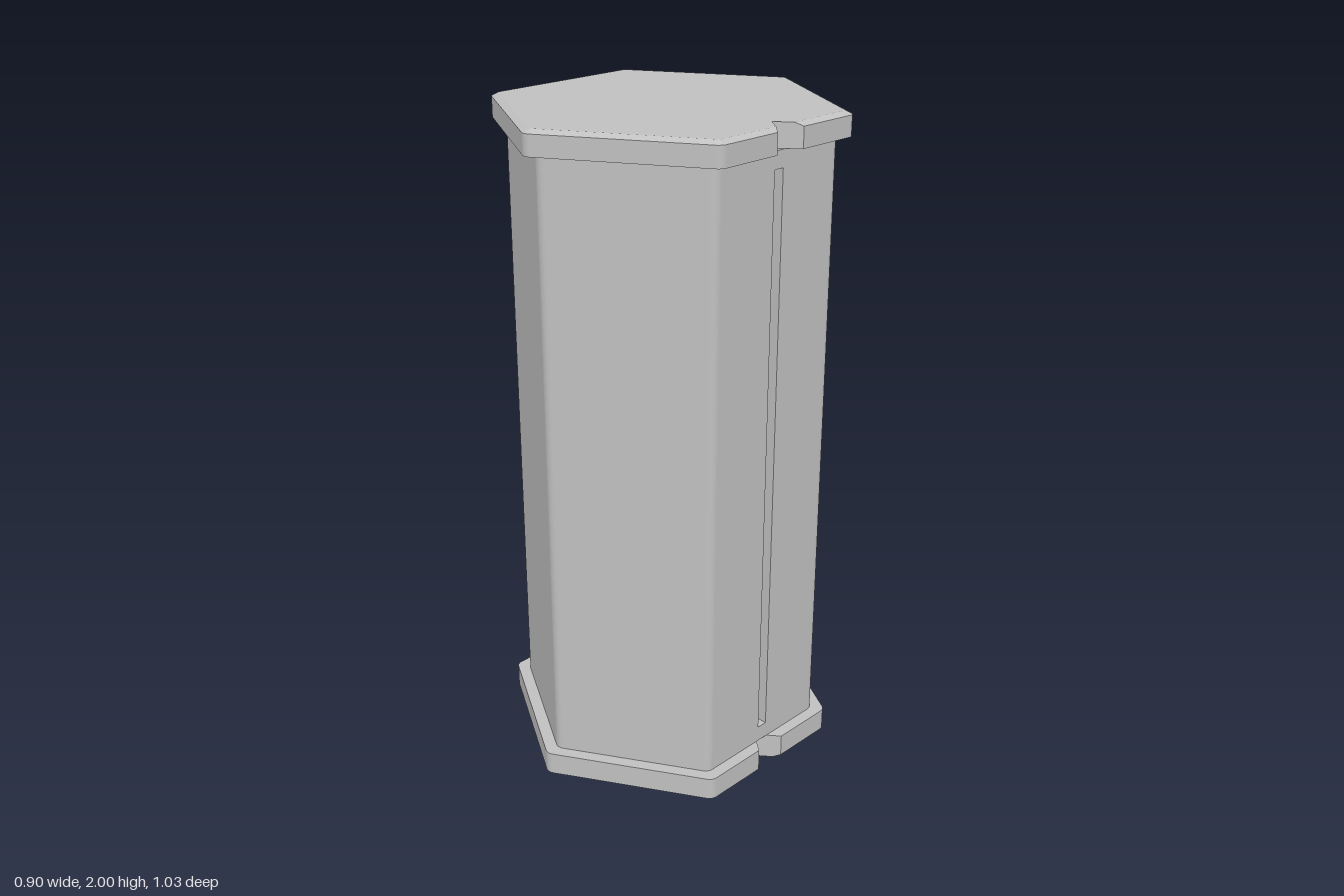
import * as THREE from 'three';

// Hexagon outline in x/z with rounded corners, points toward +z and -z;
// `cut` is a list of [x, z] points set into the +x side.
function hexOutline(apothem, radius, cut = []) {
  const points = [];
  const centre = (apothem - radius) / Math.cos(Math.PI / 6);
  const steps = 8;
  for (let k = 0; k < 6; k++) {
    const mid = Math.PI / 6 + k * Math.PI / 3;
    for (let s = 0; s <= steps; s++) {
      const a = mid + (s / steps - 0.5) * Math.PI / 3;
      points.push(new THREE.Vector2(
        centre * Math.cos(mid) + radius * Math.cos(a),
        centre * Math.sin(mid) + radius * Math.sin(a)));
    }
  }
  cut.forEach(([x, z]) => points.push(new THREE.Vector2(x, z)));
  return points;
}

// Closed solid through outlines stacked upwards: [[outline, y], ...]
function loft(rings) {
  const pos = [];
  const corner = (ring, i) => {
    const p = ring[0][i % ring[0].length];
    pos.push(p.x, ring[1], p.y);
  };
  for (let r = 0; r < rings.length - 1; r++) {
    const a = rings[r], b = rings[r + 1];
    for (let i = 0; i < a[0].length; i++) {
      corner(a, i); corner(b, i); corner(b, i + 1);
      corner(a, i); corner(b, i + 1); corner(a, i + 1);
    }
  }
  const bottom = rings[0], top = rings[rings.length - 1];
  for (const [i, j, k] of THREE.ShapeUtils.triangulateShape(bottom[0], [])) {
    corner(bottom, i); corner(bottom, j); corner(bottom, k);
  }
  for (const [i, j, k] of THREE.ShapeUtils.triangulateShape(top[0], [])) {
    corner(top, k); corner(top, j); corner(top, i);
  }
  const geo = new THREE.BufferGeometry();
  geo.setAttribute('position', new THREE.Float32BufferAttribute(pos, 3));
  geo.computeVertexNormals();
  return geo;
}

export function createModel() {
  const grey = new THREE.MeshStandardMaterial({ color: 0xc0c0c0 });
  grey.name = 'grey';
  const model = new THREE.Group();
  model.name = 'hexagonalCase';
  const add = (name, rings) => {
    const mesh = new THREE.Mesh(loft(rings), grey);
    mesh.name = name;
    model.add(mesh);
  };

  // Body: solid ends and a long middle with the groove in its +x side
  const side = 0.415, round = 0.03, floor = 0.375, half = 0.017;
  const plain = hexOutline(side, round);
  const grooved = hexOutline(side, round,
    [[side, -half], [floor, -half], [floor, half], [side, half]]);
  add('bodyLowerEnd', [[plain, 0.08], [plain, 0.13]]);
  add('bodyGrooved', [[grooved, 0.13], [grooved, 1.88]]);
  add('bodyUpperEnd', [[plain, 1.88], [plain, 1.93]]);

  // End plates: V notch on the +x side, chamfered on the outer rim
  const rim = 0.452, tip = 0.385, notchHalf = 0.052, chamfer = 0.02;
  const plate = (inset) => {
    const x = rim - inset;
    const z = notchHalf * (x - tip) / (rim - tip);
    return hexOutline(x, round - inset, [[x, -z], [tip, 0], [x, z]]);
  };
  const full = plate(0), reduced = plate(chamfer);
  add('bottomPlate', [[reduced, 0], [full, 0.01], [full, 0.08]]);
  add('topPlate', [[full, 1.93], [full, 1.99], [reduced, 2]]);

  return model;
}
